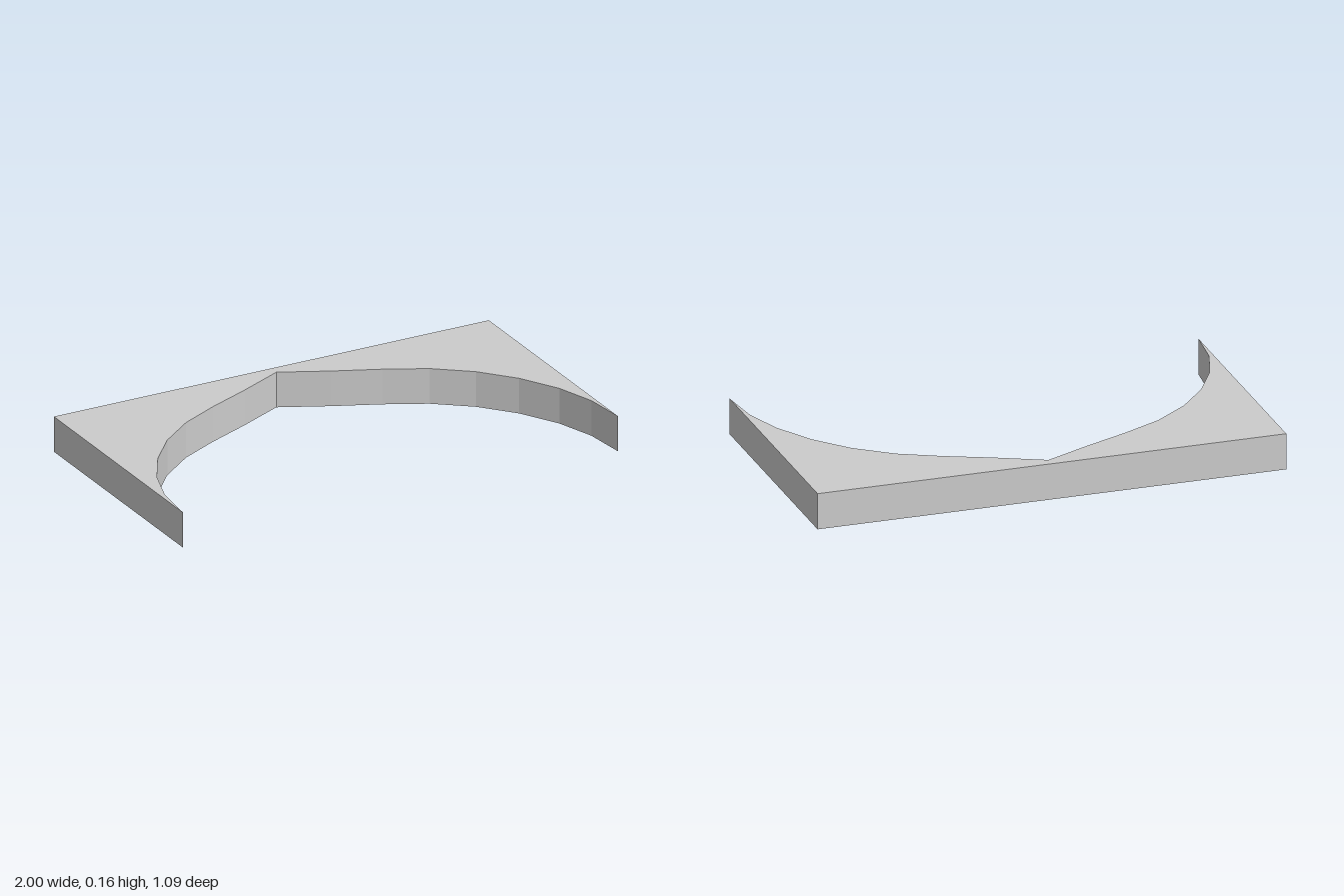
import * as THREE from 'three';

export function createModel() {
  const group = new THREE.Group();
  group.name = 'archPanel';

  const height = 0.155;
  const halfDepth = 0.545;

  // Half of the pointed arch, from the tip of the leg to just before the apex (x, z)
  const halfArch = [
    [1, halfDepth], [0.98, 0.355], [0.925, 0.187], [0.83, 0.02],
    [0.71, -0.12], [0.56, -0.237], [0.39, -0.323], [0.2, -0.406],
  ];
  const mirrored = halfArch.map(([x, z]) => [-x, z]).reverse();

  // Flat outline: straight back edge, then the arch cut into the front
  const outline = [
    [-1, -halfDepth], [1, -halfDepth],
    ...halfArch, [0, -0.502], ...mirrored,
  ].map(([x, z]) => new THREE.Vector2(x, -z));

  // Extrude upwards so the panel lies on the ground
  const geometry = new THREE.ExtrudeGeometry(new THREE.Shape(outline), {
    depth: height, bevelEnabled: false,
  });
  geometry.rotateX(-Math.PI / 2);

  const panel = new THREE.Mesh(
    geometry,
    new THREE.MeshStandardMaterial({ color: 0xcccccc, flatShading: true }),
  );
  panel.name = 'pointedArch';
  group.add(panel);
  return group;
}
